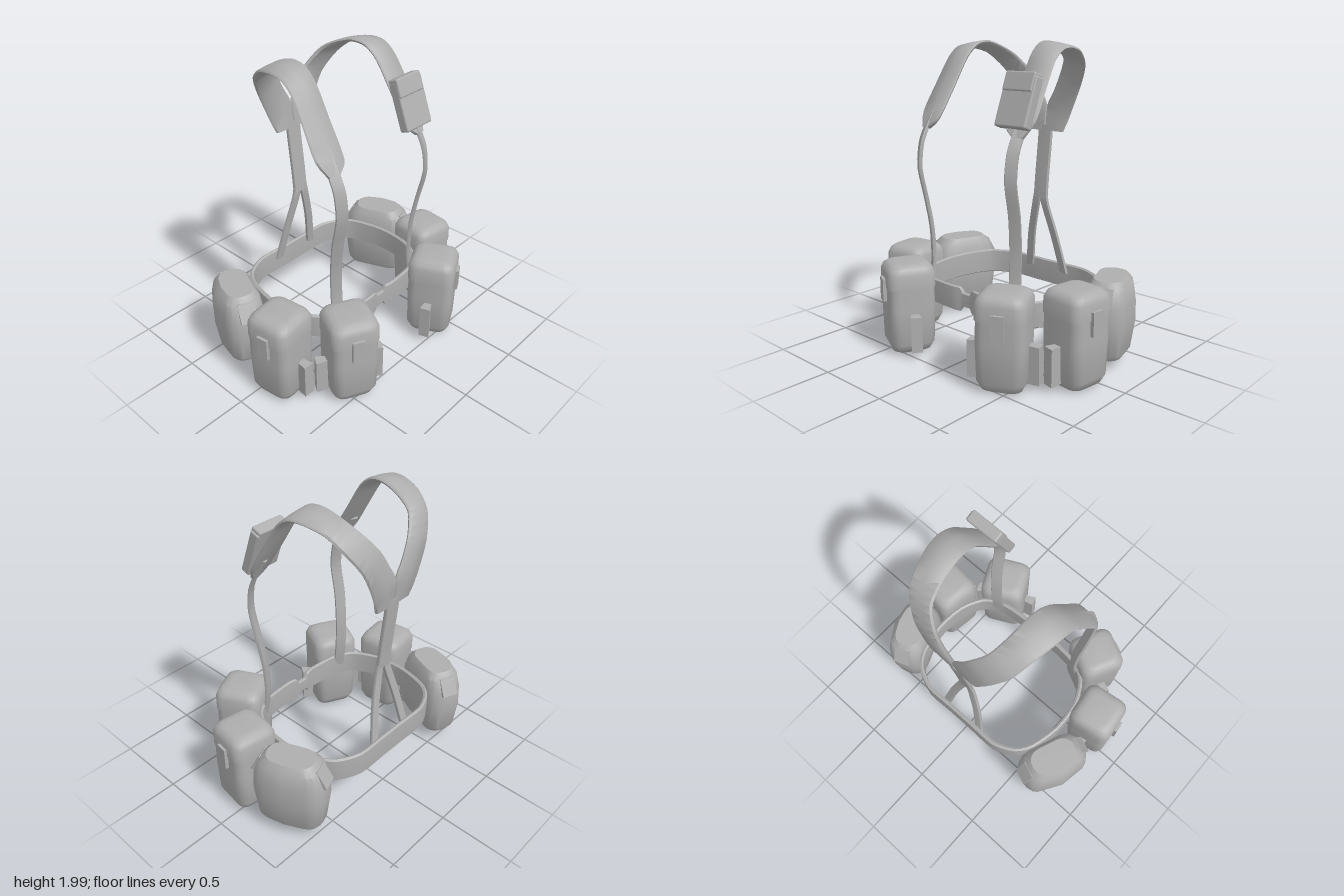
import * as THREE from 'three';
import { toCreasedNormals } from 'three/addons/utils/BufferGeometryUtils.js';
import { RoundedBoxGeometry } from 'three/addons/geometries/RoundedBoxGeometry.js';

const V = (x, y, z) => new THREE.Vector3(x, y, z);
const canvas = new THREE.MeshStandardMaterial({ color: 0xaeaeae });
canvas.name = 'grey canvas';

function part(name, geometry, parent, x = 0, y = 0, z = 0) {
  const m = new THREE.Mesh(geometry, canvas);
  m.name = name;
  m.position.set(x, y, z);
  parent.add(m);
  return m;
}

// Skin over a row of equal-length rings, capped at both ends unless closed
function loft(rings, closed = false, crease = 0.7) {
  const n = rings[0].length, pts = rings.flat(), idx = [];
  const spans = closed ? rings.length : rings.length - 1;
  for (let k = 0; k < spans; k++) {
    const a = k * n, b = ((k + 1) % rings.length) * n;
    for (let i = 0; i < n; i++) {
      const j = (i + 1) % n;
      idx.push(a + i, b + i, a + j, a + j, b + i, b + j);
    }
  }
  if (!closed) {
    const last = (rings.length - 1) * n;
    for (let i = 1; i < n - 1; i++) {
      idx.push(0, i, i + 1, last, last + i + 1, last + i);
    }
  }
  const g = new THREE.BufferGeometry().setFromPoints(pts);
  g.setIndex(idx);
  return toCreasedNormals(g, crease);
}

// Horizontal rounded rectangle; bulge pushes out the middle of the outer face
function ring(y, w, d, r, bulge = 0) {
  const out = [];
  for (let q = 0; q < 4; q++) {
    const sx = q === 0 || q === 3 ? 1 : -1, sz = q < 2 ? 1 : -1;
    for (let i = 0; i <= 4; i++) {
      const a = (q + i / 4) * Math.PI / 2;
      out.push(V(sx * (w / 2 - r) + r * Math.cos(a), y, sz * (d / 2 - r) + r * Math.sin(a)));
    }
    if (q === 0) out.push(V(0, y, d / 2 + bulge));
    if (q === 2) out.push(V(0, y, -d / 2));
  }
  return out;
}

// Flat webbing between two edge lines
const SECTION = [[1, 0], [0.9, 0.8], [0, 1], [-0.9, 0.8], [-1, 0], [-0.9, -0.8], [0, -1], [0.9, -0.8]];
function ribbon(edgeA, edgeB, thick, closed = false, sub = 3) {
  const n = (closed ? edgeA.length : edgeA.length - 1) * sub;
  const ca = new THREE.CatmullRomCurve3(edgeA, closed, 'catmullrom', 0.4);
  const cb = new THREE.CatmullRomCurve3(edgeB, closed, 'catmullrom', 0.4);
  const A = ca.getPoints(n), B = cb.getPoints(n);
  if (closed) { A.pop(); B.pop(); }
  const mid = A.map((p, i) => p.clone().add(B[i]).multiplyScalar(0.5));
  const c = mid.length;
  const rings = mid.map((m, i) => {
    const next = mid[closed ? (i + 1) % c : Math.min(i + 1, c - 1)];
    const prev = mid[closed ? (i + c - 1) % c : Math.max(i - 1, 0)];
    const w = A[i].clone().sub(m);
    const t = next.clone().sub(prev);
    const nrm = w.clone().cross(t).normalize();
    return SECTION.map(([u, v]) => m.clone().addScaledVector(w, u).addScaledVector(nrm, v * thick / 2));
  });
  return loft(rings, closed, 0.9);
}

// Ribbon with a fixed half-width vector along a centre line
function strap(centres, half, thick) {
  return ribbon(centres.map(p => p.clone().add(half)), centres.map(p => p.clone().sub(half)), thick);
}

// Ammunition pouch: body, lid, clasp and a small wedge pocket on each side
function makePouch(name) {
  const g = new THREE.Group();
  g.name = name;
  part('pouchBody', loft([
    ring(0.005, 0.2, 0.2, 0.05), ring(0.02, 0.25, 0.25, 0.06), ring(0.07, 0.295, 0.295, 0.065),
    ring(0.3, 0.305, 0.305, 0.06), ring(0.48, 0.3, 0.3, 0.06)]), g);
  part('pouchLid', loft([
    ring(0.445, 0.312, 0.312, 0.062), ring(0.54, 0.312, 0.312, 0.065),
    ring(0.575, 0.285, 0.285, 0.065), ring(0.595, 0.235, 0.235, 0.06), ring(0.6, 0.17, 0.17, 0.05)]), g);
  part('clasp', new THREE.BoxGeometry(0.078, 0.15, 0.025), g, 0, 0.425, 0.162);
  const wedge = new THREE.Shape();
  wedge.moveTo(0.14, -0.02);
  wedge.lineTo(0.215, -0.04);
  wedge.lineTo(0.225, 0.03);
  wedge.lineTo(0.14, 0.025);
  const wg = new THREE.ExtrudeGeometry(wedge, { depth: 0.235, bevelEnabled: false });
  wg.rotateX(-Math.PI / 2);
  for (const turn of [0, Math.PI]) part('sidePocket', wg, g, 0, 0.045, 0).rotation.y = turn;
  return g;
}

// Broad canteen cover with bulged outer face and end flaps
function makeCanteen() {
  const g = new THREE.Group();
  g.name = 'canteenCover';
  part('canteenBody', loft([
    ring(0.08, 0.39, 0.2, 0.08, 0.01), ring(0.11, 0.43, 0.23, 0.09, 0.02), ring(0.3, 0.475, 0.265, 0.1, 0.03),
    ring(0.43, 0.46, 0.26, 0.1, 0.03), ring(0.525, 0.4, 0.235, 0.095, 0.02), ring(0.57, 0.31, 0.18, 0.08, 0.01)],
  false, 0.6), g);
  for (const s of [-1, 1]) {
    part('endFlap', new THREE.BoxGeometry(0.02, 0.13, 0.11), g, s * 0.211, 0.48, 0).rotation.z = s * 0.5;
  }
  return g;
}

export function createModel() {
  const root = new THREE.Group();
  root.name = 'loadHarness';
  const h = new THREE.Group();
  h.name = 'harness';
  h.position.x = -0.008;
  root.add(h);

  // Belt loop, pinched at the front fastener: x, z, half height
  const half = [[0.03, 0.272, 0.045], [0.055, 0.275, 0.08], [0.12, 0.285, 0.083], [0.33, 0.265, 0.083],
    [0.46, 0.19, 0.085], [0.54, 0.03, 0.085], [0.555, -0.18, 0.085], [0.51, -0.38, 0.085],
    [0.44, -0.48, 0.085], [0.3, -0.545, 0.085], [0.1, -0.545, 0.085]];
  const loop = [...half, ...half.map(([x, z, hh]) => [-x, z, hh]).reverse()];
  const edge = s => loop.map(([x, z, hh]) => V(x, 0.395 + s * hh, z));
  part('belt', ribbon(edge(1), edge(-1), 0.034, true), h);
  part('beltFastener', new RoundedBoxGeometry(0.1, 0.09, 0.03, 2, 0.01), h, 0, 0.395, 0.272);

  // Shoulder pad edges from chest to back joint: outer, inner
  const pad = [
    [[0.42, 1.455, 0.235], [0.345, 1.455, 0.25]], [[0.467, 1.55, 0.18], [0.28, 1.52, 0.225]],
    [[0.455, 1.72, 0.08], [0.265, 1.72, 0.1]], [[0.442, 1.88, -0.02], [0.255, 1.9, -0.01]],
    [[0.44, 1.945, -0.1], [0.245, 1.975, -0.1]], [[0.43, 1.955, -0.2], [0.237, 1.985, -0.2]],
    [[0.4, 1.925, -0.33], [0.225, 1.95, -0.31]], [[0.36, 1.84, -0.43], [0.195, 1.89, -0.42]],
    [[0.28, 1.71, -0.495], [0.12, 1.785, -0.485]], [[0.215, 1.57, -0.507], [0.055, 1.67, -0.505]],
    [[0.175, 1.47, -0.503], [0, 1.57, -0.507]], [[0.147, 1.4, -0.49], [0, 1.4, -0.49]]];
  const front = [[0.36, 0.4, 0.25], [0.355, 0.58, 0.225], [0.362, 0.8, 0.23], [0.378, 1, 0.26], [0.385, 1.2, 0.303],
    [0.385, 1.36, 0.286], [0.382, 1.47, 0.235], [0.375, 1.6, 0.155]];

  for (const s of [1, -1]) {
    const M = p => V(s * p[0], p[1], p[2]);
    part('shoulderPad', ribbon(pad.map(p => M(p[0])), pad.map(p => M(p[1])), 0.03), h);
    part('frontStrap', strap(front.map(M), V(s * 0.032, 0, -0.02), 0.028), h);
    part('lowerBackStrap', strap(
      [[0.022, 0.99, -0.448], [0.04, 0.9, -0.448], [0.1, 0.68, -0.48], [0.15, 0.42, -0.525]].map(M),
      V(0.031, 0.006 * -s, 0), 0.026), h);

    const frontPouch = makePouch('frontPouch');
    frontPouch.position.set(s * 0.425, 0, 0.395);
    frontPouch.rotation.y = s * 0.465;
    const sidePouch = makePouch('sidePouch');
    sidePouch.position.set(s * 0.703, 0, 0.078);
    sidePouch.rotation.y = s * 1.44;
    const canteen = makeCanteen();
    canteen.position.set(s * 0.675, 0, s > 0 ? -0.318 : -0.36);
    canteen.rotation.y = s * 1.95;
    h.add(frontPouch, sidePouch, canteen);
  }

  // Single strap down the middle of the back
  part('backStrap', strap([V(0, 1.44, -0.495), V(0, 1.3, -0.482), V(0, 1.1, -0.46), V(0, 0.94, -0.446)],
    V(0.057, 0, 0), 0.03), h);

  // Small tilted pouch on the left chest
  const chest = new THREE.Group();
  chest.name = 'chestPouch';
  chest.position.set(0.345, 1.663, 0.19);
  chest.rotation.x = -0.36;
  part('chestPouchBody', new RoundedBoxGeometry(0.235, 0.31, 0.066, 2, 0.012), chest, 0, -0.01, 0);
  part('chestPouchFlap', new RoundedBoxGeometry(0.222, 0.12, 0.074, 2, 0.012), chest, -0.005, 0.105, 0.003);
  h.add(chest);
  return root;
}
